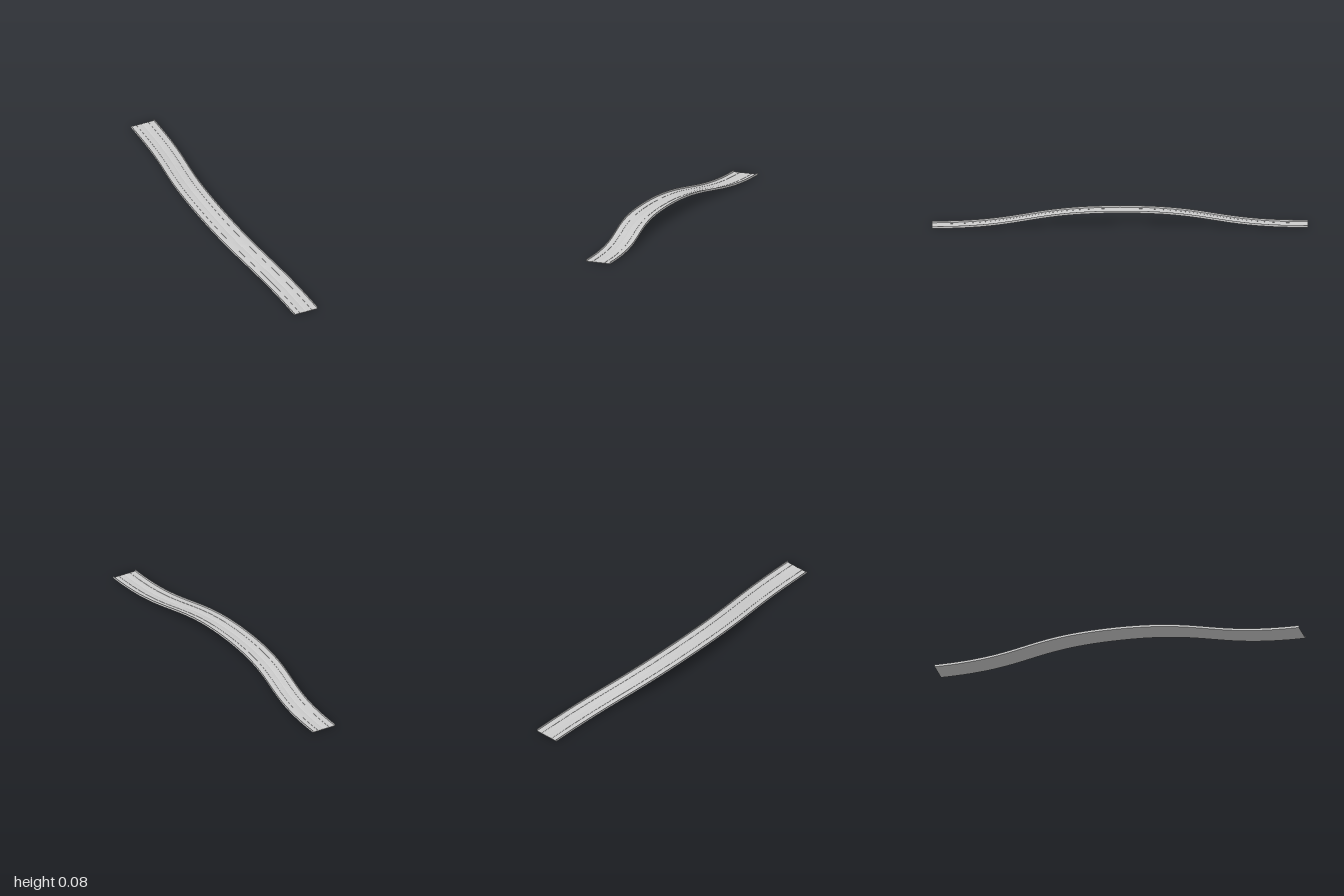
import * as THREE from 'three';
import { toCreasedNormals } from 'three/addons/utils/BufferGeometryUtils.js';

const HALF = 0.07, WALL = 0.002, FLOOR = 0.0025, TOP = 0.012;
const RISE = 0.063, SWAY = 0.044;

// Bend a straight bar along z: it rises and sways aside towards its middle, level at both ends.
function bend(geometry) {
  const p = geometry.attributes.position;
  for (let i = 0; i < p.count; i++) {
    const z = p.getZ(i), t = 1 - Math.abs(z);
    const ease = t * t * (3 - 2 * t);
    const along = 1.5 * t * (1 - t) + t * t * t;
    p.setXYZ(i,
      p.getX(i) + SWAY * (1 - 2 * ease),
      p.getY(i) + RISE * ease,
      Math.sign(z) * (1 - along));
  }
  return toCreasedNormals(geometry, 0.5);
}

// Sweep a closed cross-section along the whole track.
function sweep(name, points, material) {
  const shape = new THREE.Shape(points.map(([x, y]) => new THREE.Vector2(x, y)));
  const geometry = new THREE.ExtrudeGeometry(shape, { depth: 2, steps: 64, bevelEnabled: false });
  geometry.translate(0, 0, -1);
  const mesh = new THREE.Mesh(bend(geometry), material);
  mesh.name = name;
  return mesh;
}

export function createModel() {
  const group = new THREE.Group();
  group.name = 'curvedTrack';
  const material = new THREE.MeshStandardMaterial({ color: 0xcccccc });

  // Road bed with a slot in each lane and a shallow V groove between the lanes
  const slot = (x) => [
    [x + 0.001, FLOOR], [x + 0.001, 0.001], [x - 0.001, 0.001], [x - 0.001, FLOOR],
  ];
  const inner = HALF - WALL;
  group.add(sweep('roadBed', [
    [-inner, 0], [inner, 0], [inner, FLOOR],
    ...slot(HALF / 2),
    [0.005, FLOOR], [0, 0.001], [-0.005, FLOOR],
    ...slot(-HALF / 2),
    [-inner, FLOOR],
  ], material));

  // Thin side walls
  for (const [side, name] of [[1, 'leftWall'], [-1, 'rightWall']]) {
    const a = Math.min(side * inner, side * HALF), b = a + WALL;
    group.add(sweep(name, [[a, 0], [b, 0], [b, TOP], [a, TOP]], material));
  }
  return group;
}
